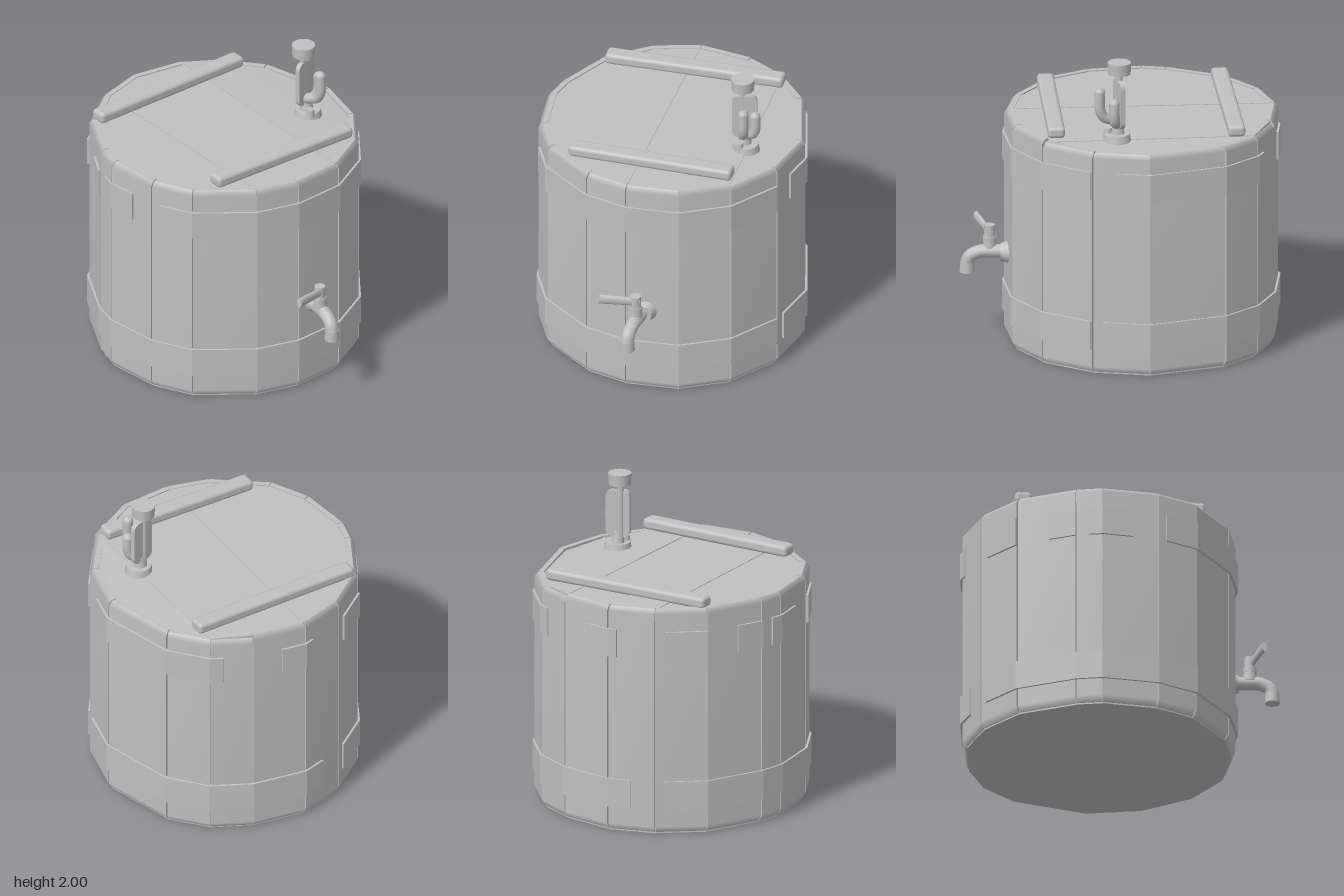
import * as THREE from 'three';
import { RoundedBoxGeometry } from 'three/addons/geometries/RoundedBoxGeometry.js';

const grey = new THREE.MeshStandardMaterial({ color: 0xc0c0c0 });
grey.name = 'plain grey';

// Uneven barrel outline seen from above, as [x, z]
const OUTLINE = [
  [-0.15, -0.99], [0.16, -1.0], [0.49, -0.86], [0.7, -0.68],
  [0.83, -0.42], [0.84, 0.09], [0.67, 0.42], [0.38, 0.66],
  [0.05, 0.75], [-0.29, 0.69], [-0.54, 0.55], [-0.8, 0.23],
  [-0.86, -0.05], [-0.81, -0.41], [-0.73, -0.56], [-0.46, -0.86],
];
const N = OUTLINE.length;
const CENTRE = new THREE.Vector2(-0.01, -0.12);

// Point on the outline: whole part = corner, fraction = way to the next corner
function onOutline(p) {
  const i = Math.floor(p), a = OUTLINE[i % N], b = OUTLINE[(i + 1) % N], t = p - i;
  return new THREE.Vector2(a[0] + (b[0] - a[0]) * t, a[1] + (b[1] - a[1]) * t);
}

function add(parent, name, geometry, x = 0, y = 0, z = 0) {
  const mesh = new THREE.Mesh(geometry, grey);
  mesh.name = name;
  mesh.position.set(x, y, z);
  parent.add(mesh);
  return mesh;
}

// Upright panel between two outline points, with bevelled top and bottom
function panel(p, q, y0, y1, { out = 0, depth = 0.06, bevel = 0, gap = 0 }) {
  const a = onOutline(q - gap), b = onOutline(p + gap);
  const levels = [y0, y0 + bevel * 1.6, y1 - bevel * 1.2, y1];
  const geo = new THREE.BoxGeometry(1, 1, 1, 1, bevel ? 3 : 1, 1);
  const pos = geo.attributes.position;
  for (let i = 0; i < pos.count; i++) {
    const row = Math.round((pos.getY(i) + 0.5) * 3);
    const edge = row === 0 || row === 3;
    const at = a.clone().lerp(b, pos.getX(i) + 0.5);
    const ray = at.clone().sub(CENTRE).normalize();
    at.addScaledVector(ray, pos.getZ(i) > 0 ? out - (edge ? bevel : 0) : out - depth);
    pos.setXYZ(i, at.x, levels[row], at.y);
  }
  geo.computeVertexNormals();
  return geo;
}

// Flat board with its outline given by [x, z] corners
function board(points, y, thickness) {
  const shape = new THREE.Shape(points.map(([x, z]) => new THREE.Vector2(x, -z)));
  const geo = new THREE.ExtrudeGeometry(shape, { depth: thickness, bevelEnabled: false });
  return geo.rotateX(-Math.PI / 2).translate(0, y, 0);
}

const inset = ([x, z], k) => [CENTRE.x + (x - CENTRE.x) * k, CENTRE.y + (z - CENTRE.y) * k];

function tube(points, radius) {
  const curve = new THREE.CatmullRomCurve3(points.map((p) => new THREE.Vector3(...p)));
  return new THREE.TubeGeometry(curve, 20, radius, 12);
}

function buildBarrel() {
  const g = new THREE.Group();
  g.name = 'barrel';
  for (let i = 0; i < N; i++) {
    const top = onOutline(i + 0.5).x > 0.35 ? 1.485 : 1.508;
    add(g, 'stave', panel(i, i + 1, 0.01, top, { bevel: 0.025, gap: 0.012 }));
  }
  add(g, 'core', board(OUTLINE.map((p) => inset(p, 0.96)), 0.02, 1.42));
  add(g, 'bottom', board(OUTLINE.map((p) => inset(p, 0.967)), 0, 0.03));

  // Lid boards, each spanning between corners of the outline
  const boards = [[3, 4, 5, 6, 7], [2, 3, 7, 8], [1, 2, 8, 9], [0, 1, 9, 10], [0, 10, 11, 12, 13, 14, 15]];
  boards.forEach((ids, k) => {
    const geo = board(ids.map((i) => inset(OUTLINE[i], 0.97)), 1.42, 0.08);
    const pos = geo.attributes.position;
    // The boards slope gently down towards the left side
    for (let i = 0; i < pos.count; i++) {
      const across = pos.getX(i) * 0.97 + pos.getZ(i) * 0.25;
      pos.setY(i, pos.getY(i) + (k % 2) * 0.004 - Math.max(0, across - 0.3) * 0.07);
    }
    geo.computeVertexNormals();
    add(g, 'lidBoard', geo);
  });

  // Battens across the lid
  const battens = [[0.125, 1.533, -0.675, 1.17, -0.23], [-0.13, 1.546, 0.43, 1.08, -0.26]];
  for (const [x, y, z, length, turn] of battens) {
    add(g, 'batten', new RoundedBoxGeometry(length, 0.075, 0.11, 2, 0.025), x, y, z).rotation.y = turn;
  }
  return g;
}

// Hoops show only where they stand proud of the staves
function buildHoops() {
  const g = new THREE.Group();
  g.name = 'hoops';
  const hoops = [
    [1.175, 1.36, [[0.8, 1.45], [2.7, 5.57], [6.03, 11.8], [12.45, 13.5], [14, 14.45], [15, 15.8]]],
    [0.165, 0.355, [[0.5, 5.82], [6.03, 15.83]]],
  ];
  for (const [y0, y1, runs] of hoops) {
    for (const [start, end] of runs) {
      for (let p = start; p < end - 0.001;) {
        const q = Math.min(Math.floor(p + 1e-6) + 1, end);
        add(g, 'hoop', panel(p, q, y0, y1, { out: 0.014, depth: 0.03 }));
        p = q;
      }
    }
  }
  return g;
}

function buildTap() {
  const g = new THREE.Group();
  g.name = 'tap';
  const flange = add(g, 'flange', new THREE.CylinderGeometry(0.055, 0.08, 0.07, 16), -0.165, 0.585, 0.72);
  flange.rotation.set(Math.PI / 2, 0, 0.3);
  add(g, 'spout', tube([
    [-0.16, 0.585, 0.66], [-0.205, 0.585, 0.79], [-0.24, 0.58, 0.87],
    [-0.265, 0.545, 0.93], [-0.272, 0.5, 0.945], [-0.272, 0.47, 0.945],
  ], 0.043));
  add(g, 'nozzle', new THREE.CylinderGeometry(0.045, 0.048, 0.07, 16), -0.272, 0.475, 0.945);
  add(g, 'bonnet', new THREE.CylinderGeometry(0.038, 0.046, 0.1, 16), -0.222, 0.64, 0.81);
  add(g, 'collar', new THREE.CylinderGeometry(0.044, 0.044, 0.03, 16), -0.222, 0.665, 0.81);
  add(g, 'knob', new THREE.CylinderGeometry(0.035, 0.035, 0.07, 16), -0.222, 0.725, 0.81);
  const lever = add(g, 'lever', new THREE.CylinderGeometry(0.034, 0.028, 0.26, 12), -0.325, 0.733, 0.822);
  lever.scale.z = 0.55;
  lever.rotation.z = Math.PI / 2 - 0.08;
  return g;
}

function buildPump() {
  const g = new THREE.Group();
  g.name = 'pump';
  add(g, 'base', new THREE.CylinderGeometry(0.08, 0.09, 0.05, 20), 0.465, 1.505, 0.187);
  add(g, 'neck', new THREE.CylinderGeometry(0.03, 0.045, 0.09, 14), 0.46, 1.56, 0.18);
  add(g, 'plug', new THREE.CylinderGeometry(0.025, 0.03, 0.06, 12), 0.425, 1.53, 0.235);
  add(g, 'stem', new THREE.CylinderGeometry(0.022, 0.022, 0.4, 12), 0.44, 1.73, 0.165);
  add(g, 'cap', new THREE.CylinderGeometry(0.075, 0.072, 0.075, 20), 0.445, 1.962, 0.165);

  // Rounded upright plate behind the hooked tubes
  const w = 0.08, y0 = 1.57, y1 = 1.88, r = 0.05;
  const s = new THREE.Shape();
  s.moveTo(-w + r, y0);
  s.lineTo(w - r, y0);
  s.quadraticCurveTo(w, y0, w, y0 + r);
  s.lineTo(w, y1 - r);
  s.quadraticCurveTo(w, y1, w - r, y1);
  s.lineTo(-w + r, y1);
  s.quadraticCurveTo(-w, y1, -w, y1 - r);
  s.lineTo(-w, y0 + r);
  s.quadraticCurveTo(-w, y0, -w + r, y0);
  add(g, 'plate', new THREE.ExtrudeGeometry(s, { depth: 0.03, bevelEnabled: false }), 0.457, 0, 0.155);

  // Hooked tubes with round tips
  const hooks = [
    [[0.45, 1.81, 0.297], [0.45, 1.7, 0.297], [0.45, 1.645, 0.27], [0.45, 1.61, 0.18]],
    [[0.525, 1.75, 0.225], [0.525, 1.67, 0.225], [0.51, 1.62, 0.215], [0.46, 1.59, 0.18]],
  ];
  for (const path of hooks) {
    add(g, 'hook', tube(path, 0.034));
    add(g, 'hookTip', new THREE.SphereGeometry(0.034, 14, 10), ...path[0]);
  }
  return g;
}

export function createModel() {
  const model = new THREE.Group();
  model.name = 'waterBarrel';
  model.add(buildBarrel(), buildHoops(), buildTap(), buildPump());
  return model;
}
